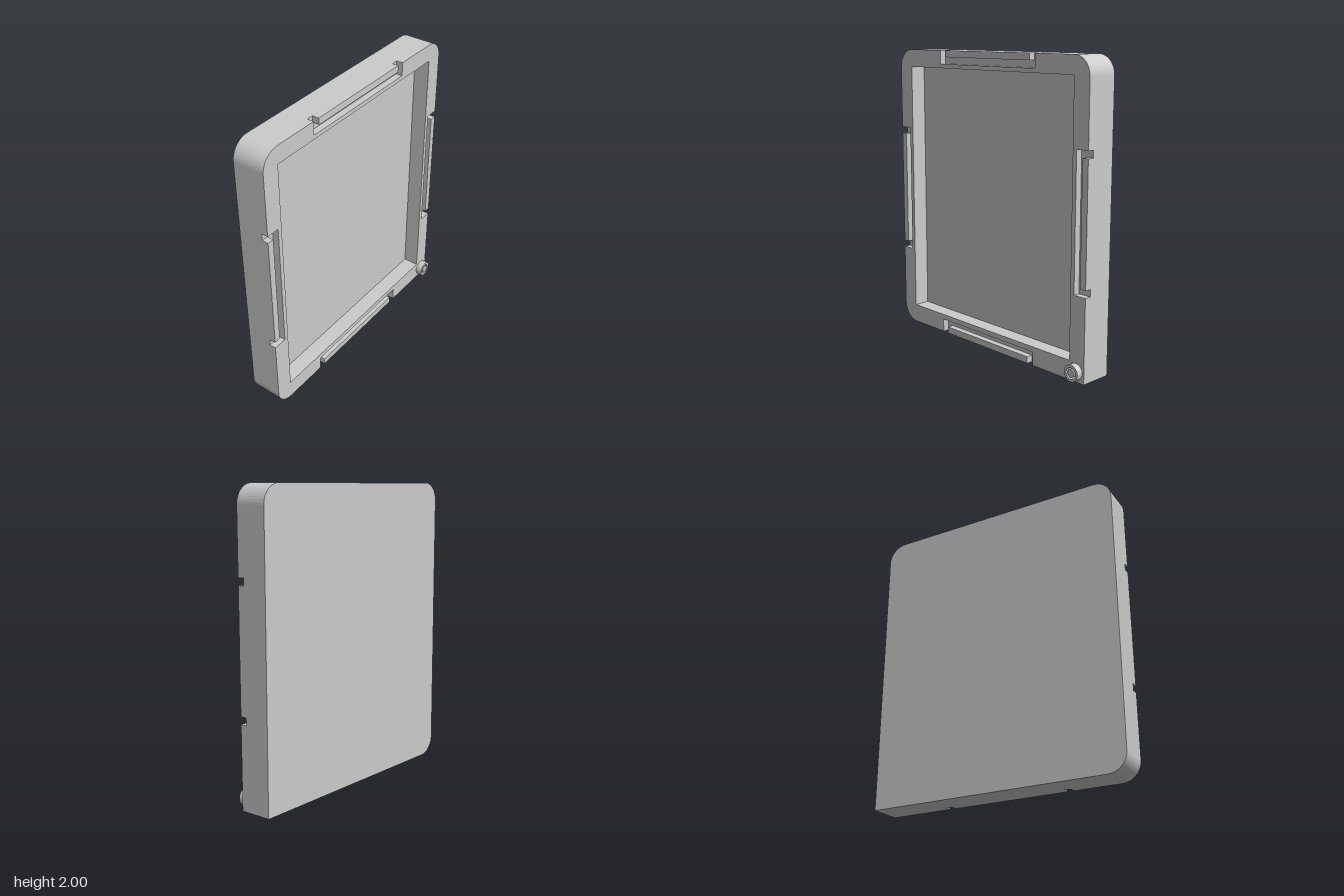
import * as THREE from 'three';

const W = 0.887, H = 2, R = 0.125;               // half width, height, corner radius
const BACK = -0.132, FLOOR = -0.022, GROOVE = 0.043, FRONT = 0.088, TIP = 0.132;
const HALF = 0.447, BAR = 0.4;                   // half lengths of the notch and its bar
const NOTCH = 0.092, LIP = 0.045;                // notch reach and bar thickness

const material = new THREE.MeshStandardMaterial({ color: 0xcccccc });

function mesh(name, geometry, x = 0, y = 0, z = 0) {
  const m = new THREE.Mesh(geometry, material);
  m.name = name;
  m.position.set(x, y, z);
  return m;
}

function slab(name, shape, z0, z1, segments = 6) {
  const geometry = new THREE.ExtrudeGeometry(shape, { depth: z1 - z0, bevelEnabled: false, curveSegments: segments });
  return mesh(name, geometry, 0, 0, z0);
}

// Outline with three round corners and a square one at the lower +x; optional edge notches
function outline(notched) {
  const s = new THREE.Shape();
  const cy = H / 2;
  const notch = (x, y, dx, dy) => { // centre of the edge, walking direction (dx, dy)
    if (!notched) return;
    const nx = -dy * NOTCH, ny = dx * NOTCH;
    s.lineTo(x - dx * HALF, y - dy * HALF);
    s.lineTo(x - dx * HALF + nx, y - dy * HALF + ny);
    s.lineTo(x + dx * HALF + nx, y + dy * HALF + ny);
    s.lineTo(x + dx * HALF, y + dy * HALF);
  };
  s.moveTo(-W + R, 0);
  notch(0, 0, 1, 0);
  s.lineTo(W, 0);
  notch(W, cy, 0, 1);
  s.lineTo(W, H - R);
  s.absarc(W - R, H - R, R, 0, Math.PI / 2);
  notch(0, H, -1, 0);
  s.lineTo(-W + R, H);
  s.absarc(-W + R, H - R, R, Math.PI / 2, Math.PI);
  notch(-W, cy, 0, -1);
  s.lineTo(-W, R);
  s.absarc(-W + R, R, R, Math.PI, Math.PI * 1.5);
  return s;
}

// Rim layer: the outline with the rectangular pocket cut out
function rim(notched) {
  const s = outline(notched);
  const [x, y0, y1] = [0.765, 0.127, 1.88];
  s.holes.push(new THREE.Path([[-x, y0], [-x, y1], [x, y1], [x, y0]].map(p => new THREE.Vector2(...p))));
  return s;
}

export function createModel() {
  const group = new THREE.Group();
  group.name = 'tray';

  group.add(slab('backPlate', outline(false), BACK, FLOOR));
  group.add(slab('rimBase', rim(false), FLOOR, GROOVE));
  group.add(slab('rimFront', rim(true), GROOVE, FRONT));

  // Bars standing in the notches, flush with the outer edges
  const depth = FRONT - GROOVE, z = (FRONT + GROOVE) / 2;
  for (const side of [-1, 1]) {
    group.add(mesh(side > 0 ? 'leftBar' : 'rightBar',
      new THREE.BoxGeometry(LIP, BAR * 2, depth), side * (W - LIP / 2), H / 2, z));
    group.add(mesh(side > 0 ? 'topBar' : 'bottomBar',
      new THREE.BoxGeometry(BAR * 2, LIP, depth), 0, H / 2 + side * (H / 2 - LIP / 2), z));
  }

  // Round stud in the square corner: a ring around a centre pin
  const stud = new THREE.Group();
  stud.name = 'cornerStud';
  stud.position.set(0.818, 0.067, 0);
  const ring = new THREE.Shape().absarc(0, 0, 0.055, 0, Math.PI * 2);
  ring.holes.push(new THREE.Path().absarc(0, 0, 0.037, 0, Math.PI * 2, true));
  stud.add(slab('studRing', ring, FRONT, TIP, 16));
  const pin = mesh('studPin', new THREE.CylinderGeometry(0.026, 0.026, TIP - FRONT, 24), 0, 0, (FRONT + TIP) / 2);
  pin.rotation.x = Math.PI / 2;
  stud.add(pin);
  group.add(stud);

  return group;
}
